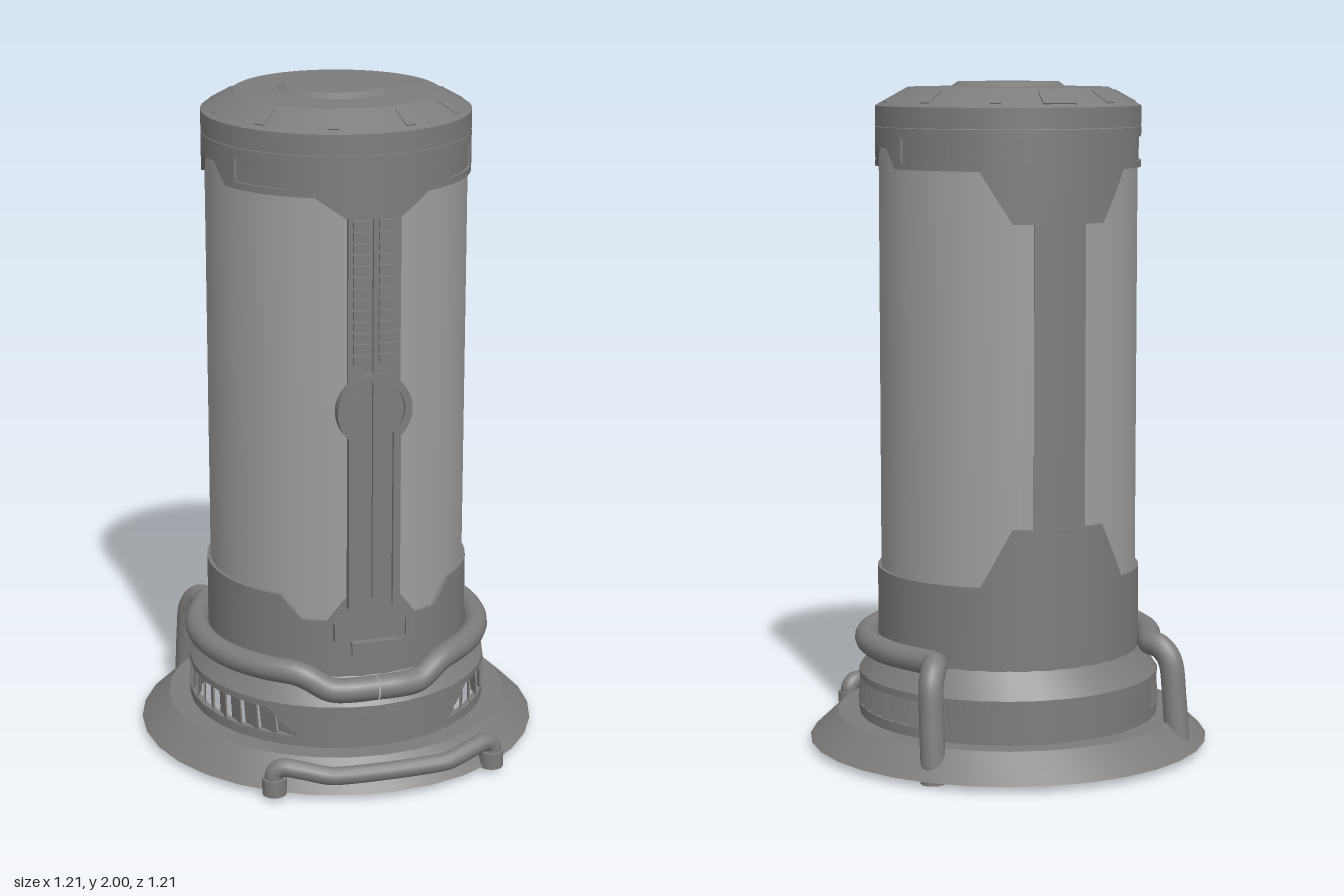
import * as THREE from 'three';
import { toCreasedNormals } from 'three/addons/utils/BufferGeometryUtils.js';

const V = (x, y, z) => new THREE.Vector3(x, y, z);
const rad = THREE.MathUtils.degToRad;

export function createModel() {
  const model = new THREE.Group();
  const dark = new THREE.MeshStandardMaterial({ color: 0x7c7c7c });
  const light = new THREE.MeshStandardMaterial({ color: 0x9e9e9e });

  function add(name, geo, x = 0, y = 0, z = 0, parent = model, mat = dark) {
    const mesh = new THREE.Mesh(geo, mat);
    mesh.name = name;
    mesh.position.set(x, y, z);
    parent.add(mesh);
    return mesh;
  }

  // A holder turned to an angle measured from the front towards +x
  function spoke(name, deg) {
    const g = new THREE.Group();
    g.name = name;
    g.rotation.y = rad(deg);
    model.add(g);
    return g;
  }

  const lathe = (pts, seg) => toCreasedNormals(
    new THREE.LatheGeometry(pts.map(p => new THREE.Vector2(...p)), seg), 0.4);

  // Linear interpolation through [degree, height] keys
  function heightAt(keys, a) {
    let i = 1;
    while (i < keys.length - 1 && keys[i][0] < a) i++;
    const [a0, y0] = keys[i - 1], [a1, y1] = keys[i];
    return THREE.MathUtils.mapLinear(a, a0, a1, y0, y1);
  }

  // Curved plate between two radii whose lower and upper edges follow keys
  function curvedPlate(rIn, rOut, bottom, top) {
    const angles = [...bottom, ...top].map(k => k[0]);
    const first = Math.min(...angles), last = Math.max(...angles);
    for (let a = first; a < last; a += 5) angles.push(a);
    const steps = [...new Set(angles)].sort((p, q) => p - q);
    const section = a => {
      const b = heightAt(bottom, a), t = heightAt(top, a), s = Math.sin(rad(a)), c = Math.cos(rad(a));
      return [[rOut, b], [rOut, t], [rIn, t], [rIn, b]].map(([r, y]) => [r * s, y, r * c]);
    };
    const pos = [];
    const quad = (a, b, c, d) => pos.push(...a, ...b, ...c, ...a, ...c, ...d);
    for (let i = 0; i < steps.length - 1; i++) {
      const p = section(steps[i]), q = section(steps[i + 1]);
      for (let k = 0; k < 4; k++) quad(p[k], q[k], q[(k + 1) % 4], p[(k + 1) % 4]);
    }
    if (last - first < 360) {
      const p = section(first), q = section(last);
      quad(p[3], p[0], p[1], p[2]);
      quad(q[0], q[3], q[2], q[1]);
    }
    const geo = new THREE.BufferGeometry();
    geo.setAttribute('position', new THREE.Float32BufferAttribute(pos, 3));
    geo.computeVertexNormals();
    return toCreasedNormals(geo, 0.4);
  }

  // Completes keys symmetrically about a middle angle
  const mirrorKeys = (keys, mid = 0) => [...keys, ...keys.map(([a, y]) => [2 * mid - a, y])]
    .sort((p, q) => p[0] - q[0]);
  const level = (a, b, y) => [[a, y], [b, y]];

  // Flared foot and thin collar, hollow underneath, with vents at both sides
  add('base', lathe([[0.437, 0.13], [0.437, 0.09], [0.47, 0.02], [0.605, 0.02],
    [0.52, 0.1], [0.455, 0.1], [0.455, 0.13], [0.437, 0.13]], 32));
  add('collarTop', lathe([[0.38, 0.29], [0.437, 0.225], [0.437, 0.21], [0.455, 0.21],
    [0.455, 0.23], [0.395, 0.305]], 32));
  add('collarFront', curvedPlate(0.437, 0.455,
    [[-43, 0.21], [-31, 0.13], [31, 0.13], [43, 0.21]], level(-43, 43, 0.21)));
  add('collarBack', curvedPlate(0.437, 0.455, level(133, 227, 0.13), level(133, 227, 0.21)));
  // Overlapping louvres that close the vents
  for (const s of [-1, 1]) {
    for (let i = 0; i < 13; i++) {
      const louvre = add('ventLouvre', new THREE.BoxGeometry(0.074, 0.086, 0.005), 0, 0.17, 0.437,
        spoke('ventLouvreHolder', s * (36 + i * 7.8)));
      louvre.rotation.set(0, s * 0.4, -s * 0.15);
    }
  }

  // Drum and lid
  add('drum', lathe([[0, 0.28], [0.385, 0.28], [0.385, 1.87]], 64), 0, 0, 0, model, light);
  add('lid', lathe([[0.38, 1.87], [0.395, 1.87], [0.395, 1.93],
    [0.298, 1.984], [0.17, 1.986], [0.15, 2], [0, 2]], 64));

  // Notched band around the foot of the drum
  add('lowerBand', curvedPlate(0.37, 0.395, level(-180, 180, 0.29),
    mirrorKeys([[0.01, 0.38], [11.9, 0.38], [12, 0.55], [20, 0.48], [31, 0.48], [41, 0.55],
      [145, 0.55], [159, 0.72], [180, 0.72]])));

  // Notched band below the lid, built around four sunken windows
  const band = (bottom, top) => add('upperBand', curvedPlate(0.37, 0.395, bottom, top));
  band(level(-180, 180, 1.84), level(-180, 180, 1.868));
  band(mirrorKeys([[0.01, 1.69], [12, 1.69], [25, 1.75], [69, 1.75], [72, 1.77]]), level(-72, 72, 1.77));
  band(mirrorKeys([[98.3, 1.77], [101, 1.75], [145, 1.75], [159, 1.6], [179.9, 1.6]], 180),
    level(98.3, 261.7, 1.77));
  band(level(-38, 38, 1.77), level(-38, 38, 1.84));
  band(level(131, 229, 1.77), level(131, 229, 1.84));
  for (const mid of [84, 276]) {
    const d = mid === 84 ? 1 : -1;
    const keys = [[63, 1.77], [72, 1.77], [78, 1.81], [93, 1.81], [98.3, 1.77], [105, 1.77]]
      .map(([a, y]) => [mid + d * (a - 84), y]).sort((p, q) => p[0] - q[0]);
    band(keys, level(keys[0][0], keys[5][0], 1.84));
    for (const [a, b] of [[38, 63], [105, 131]]) {
      const ends = [mid + d * (a - 84), mid + d * (b - 84)].sort((p, q) => p - q);
      add('bandWindow', curvedPlate(0.37, 0.387, level(...ends, 1.77), level(...ends, 1.84)));
    }
  }

  const extrude = (shape, depth) =>
    new THREE.ExtrudeGeometry(shape, { depth, bevelEnabled: false, curveSegments: 20 });

  // Tapered plates on the sloping edge of the lid, the widest at the back
  function lidPlate(deg, outer, inner) {
    const shape = new THREE.Shape([[-outer, -0.036], [outer, -0.036], [inner, 0.036], [-inner, 0.036]]
      .map(p => new THREE.Vector2(...p)));
    const plate = add('lidPlate', extrude(shape, 0.014), 0, 1.948, 0.34, spoke('lidPlateHolder', deg));
    plate.rotation.x = -Math.PI / 2 + Math.atan2(0.054, 0.097);
  }
  lidPlate(180, 0.052, 0.041);
  for (let i = 0; i < 5; i++) {
    for (const s of [-1, 1]) lidPlate(180 + s * (28.5 + i * 33.5), 0.016, 0.01);
  }

  // Strip down the back
  add('backStrip', curvedPlate(0.37, 0.389, level(168, 192, 0.7), level(168, 192, 1.62)));

  // Scale strip with two columns of marks and a thin centre rod
  add('scaleStrip', new THREE.BoxGeometry(0.156, 0.66, 0.03), 0, 1.39, 0.373);
  for (let i = 0; i < 13; i++) {
    for (const s of [-1, 1])
      add('scaleMark', new THREE.BoxGeometry(0.052, 0.024, 0.02), s * 0.038, 1.28 + i * 0.0327, 0.387);
  }
  add('centreRod', new THREE.BoxGeometry(0.012, 1.14, 0.03), 0, 1.12, 0.383);

  // Gauge: round head, long neck and flared foot, with a raised rim
  function gaugeOutline(inset, Type) {
    const w = 0.078 - inset, r = 0.112 - inset, foot = 0.12 - inset, a = Math.acos(w / r);
    const s = new Type();
    s.moveTo(-w, 0.37 + inset);
    s.lineTo(w, 0.37 + inset);
    s.lineTo(foot, 0.42);
    s.lineTo(foot, 0.475);
    s.lineTo(w, 0.52);
    s.absarc(0, 1.125, r, -a, Math.PI + a, false);
    s.lineTo(-w, 0.52);
    s.lineTo(-foot, 0.475);
    s.lineTo(-foot, 0.42);
    s.closePath();
    return s;
  }
  add('gaugePlate', extrude(gaugeOutline(0, THREE.Shape), 0.03), 0, 0, 0.358);
  const rim = gaugeOutline(0, THREE.Shape);
  rim.holes.push(gaugeOutline(0.022, THREE.Path));
  add('gaugeRim', extrude(rim, 0.045), 0, 0, 0.355);
  add('gaugeFoot', new THREE.BoxGeometry(0.14, 0.04, 0.03), 0, 0.395, 0.395);

  // Pipes
  const pipe = (pts, r) => new THREE.TubeGeometry(
    new THREE.CatmullRomCurve3(pts, false, 'centripetal'), 120, r, 14);
  for (const s of [-1, 1]) {
    // Half of the ring pipe, ending in a leg at the back
    const pts = [V(s * 0.001, 0.275, 0.426), V(s * 0.07, 0.275, 0.424), V(s * 0.12, 0.275, 0.414),
      V(s * 0.145, 0.281, 0.406), V(s * 0.2, 0.313, 0.381)];
    for (const a of [32, 37, 45, 60, 75, 90, 105, 120])
      pts.push(V(s * 0.43 * Math.sin(rad(a)), a === 32 ? 0.323 : 0.326, 0.43 * Math.cos(rad(a))));
    pts.push(V(s * 0.35, 0.326, -0.275), V(s * 0.363, 0.322, -0.305), V(s * 0.383, 0.285, -0.335),
      V(s * 0.39, 0.17, -0.355), V(s * 0.392, 0.05, -0.37));
    add('ringPipe', pipe(pts, 0.037));
    add('ringPipeEnd', new THREE.CylinderGeometry(0.037, 0.037, 0.055, 14), s * 0.392, 0.0275, -0.37);

    // Foot of the front rail
    add('railFoot', new THREE.CylinderGeometry(0.036, 0.036, 0.05, 14), s * 0.335, 0.04, 0.505);
  }
  const half = [[0.335, 0.04, 0.505], [0.335, 0.08, 0.505], [0.315, 0.097, 0.512], [0.27, 0.093, 0.53],
    [0.2, 0.078, 0.554], [0.17, 0.073, 0.56]];
  add('frontRail', pipe([...half.map(([x, y, z]) => V(-x, y, z)),
    ...half.slice().reverse().map(p => V(...p))], 0.027));

  return model;
}
